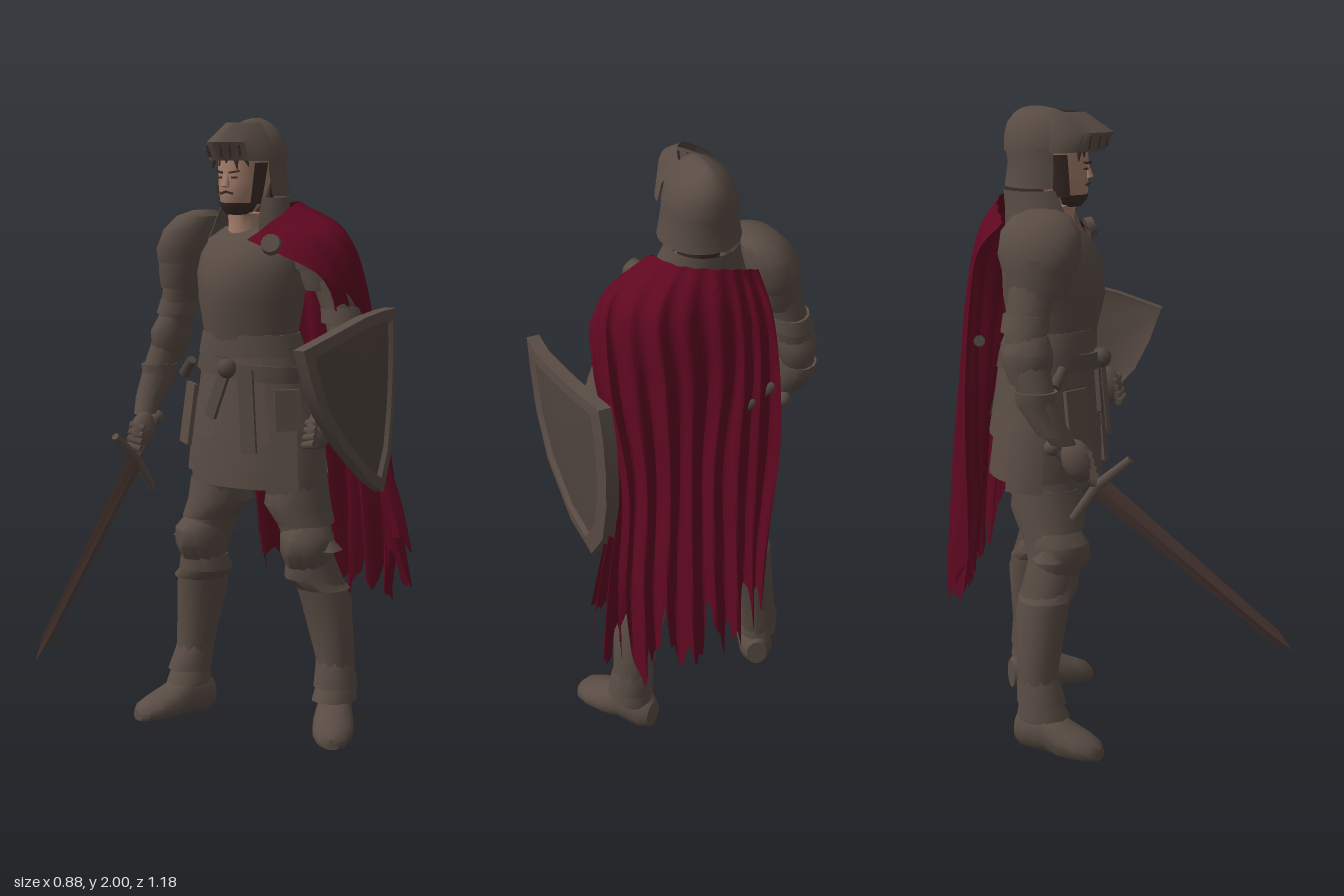
import * as THREE from 'three';
import { toCreasedNormals } from 'three/addons/utils/BufferGeometryUtils.js';

const V = (x, y, z) => new THREE.Vector3(x, y, z);
const mat = (name, color, side = THREE.FrontSide) => {
  const m = new THREE.MeshStandardMaterial({ color, side });
  m.name = name;
  return m;
};

export function createModel() {
  const root = new THREE.Group();
  root.name = 'knight';
  const steel = mat('brown steel', 0x594c44, THREE.DoubleSide);
  const leather = mat('dark leather', 0x52463f);
  const panelMat = mat('shield panel', 0x4f443d);
  const bladeMat = mat('rusty blade', 0x503d38);
  const red = mat('crimson cloth', 0x5f0820, THREE.DoubleSide);
  const skinMat = mat('skin', 0xa57f6c);
  const hair = mat('dark hair', 0x3a2c28, THREE.DoubleSide);

  const add = (name, geo, material, parent = root) => {
    const m = new THREE.Mesh(geo, material);
    m.name = name;
    parent.add(m);
    return m;
  };

  // Surface through rings of points, counterclockwise seen from the last ring
  function skin(rings, closed = true) {
    const n = rings[0].length, pos = [], idx = [], cols = closed ? n : n - 1;
    rings.forEach(r => r.forEach(p => pos.push(p.x, p.y, p.z)));
    for (let i = 0; i < rings.length - 1; i++) for (let j = 0; j < cols; j++) {
      const k = (j + 1) % n, a = i * n + j, b = i * n + k, c = b + n, d = a + n;
      idx.push(a, b, c, a, c, d);
    }
    if (closed) [0, rings.length - 1].forEach((ri, end) => {
      const c = rings[ri].reduce((s, p) => s.add(p), V(0, 0, 0)).divideScalar(n), ci = pos.length / 3;
      pos.push(c.x, c.y, c.z);
      for (let j = 0; j < n; j++) {
        const a = ri * n + j, b = ri * n + (j + 1) % n;
        end ? idx.push(ci, a, b) : idx.push(ci, b, a);
      }
    });
    const g = new THREE.BufferGeometry();
    g.setAttribute('position', new THREE.Float32BufferAttribute(pos, 3));
    g.setIndex(idx);
    return toCreasedNormals(g, 0.7);
  }

  // Stacked ellipses [x, y, z, rx, rz, frontRidge]; an angle range leaves it open
  function loft(sections, n = 18, a0 = 0, a1 = Math.PI * 2) {
    const closed = a1 - a0 > 6.28, steps = closed ? n : n - 1;
    const rings = [...sections].sort((p, q) => p[1] - q[1]).map(([x, y, z, rx, rz, p = 0]) =>
      Array.from({ length: n }, (_, i) => {
        const a = a0 + (a1 - a0) * i / steps;
        return V(x + rx * Math.sin(a), y, z + rz * Math.cos(a) + p * Math.max(0, Math.cos(a)) ** 6);
      }));
    return skin(rings, closed);
  }
  function bar(name, a, b, r0, r1, material, parent = root, sides = 8) {
    const d = b.clone().sub(a), m = add(name, new THREE.CylinderGeometry(r1, r0, d.length(), sides), material, parent);
    m.position.copy(a).addScaledVector(d, 0.5);
    m.quaternion.setFromUnitVectors(V(0, 1, 0), d.normalize());
  }
  function box(name, w, h, d, x, y, z, material, rx = 0, ry = 0, rz = 0) {
    const m = add(name, new THREE.BoxGeometry(w, h, d), material);
    m.position.set(x, y, z);
    m.rotation.set(rx, ry, rz);
  }

  // Torso, collar and layered skirt
  add('breastplate', loft([[-.03, 1.655, -.235, .1, .09], [-.02, 1.62, -.215, .155, .115], [-.02, 1.57, -.205, .18, .135, .005],
    [-.02, 1.51, -.2, .188, .152, .015], [-.02, 1.42, -.2, .18, .15, .02], [-.02, 1.32, -.2, .162, .135, .01], [-.02, 1.2, -.21, .172, .135]], 24), steel);
  add('collar', loft([[-.03, 1.75, -.245, .105, .1], [-.03, 1.69, -.225, .12, .115], [-.03, 1.61, -.21, .145, .13]], 18, .75, 5.53), steel);
  add('waistPlate', loft([[-.02, 1.32, -.2, .166, .142], [-.02, 1.25, -.21, .188, .152]], 20), steel);
  // Plates hung in two tiers, with uneven hems
  const tier = (name, count, start, top, mid, low, drop) => {
    const w = Math.PI * 2 / count;
    for (let i = 0; i < count; i++) {
      const d = drop * (i % 2), c = start + i * w;
      add(name, loft([[-.015, top[0], -.215, top[1], top[2]], [-.01, mid[0], -.22, mid[1], mid[2]],
        [-.01, low[0] + d, -.225, low[1], low[2]]], 5, c - w * .5, c + w * .53), steel);
    }
  };
  tier('upperSkirtPlate', 7, .2, [1.27, .178, .145], [1.12, .208, .16], [.985, .242, .176], .04);
  tier('lowerSkirtPlate', 9, .36, [1.05, .22, .16], [.94, .242, .172], [.83, .254, .178], .03);
  add('skirtCore', loft([[-.02, 1.2, -.215, .175, .135], [-.01, 1.05, -.22, .208, .15], [-.01, .88, -.23, .225, .155]], 16), leather);
  const belt = add('belt', loft([[-.015, .025, 0, .19, .157], [-.01, -.025, 0, .2, .166]], 20), leather);
  belt.position.set(0, 1.21, -.21);
  belt.rotation.z = -.1;
  add('beltKnot', new THREE.SphereGeometry(.032, 10, 8), leather).position.set(0, 1.215, -.045);
  box('beltStrap', .05, .26, .014, .08, 1.08, -.045, leather, -.1, .25, .12);
  box('beltTail', .04, .16, .014, -.04, 1.13, -.048, leather, -.12, 0, -.3);
  box('hipPouch', .08, .13, .05, .19, 1.09, -.11, leather, -.1, .7, .1);
  box('hipPlate', .08, .2, .014, .2, .93, -.085, steel, -.12, .6, .1);
  box('hipPlate', .09, .2, .014, -.19, 1.05, -.09, steel, -.15, -.6, -.1);
  bar('dagger', V(-.08, 1.26, -.43), V(-.21, 1.3, -.39), .014, .018, leather);
  bar('hipToggle', V(-.21, 1.22, -.13), V(-.255, 1.17, -.15), .016, .02, leather);

  // Head and face
  add('head', loft([[-.03, 1.6, -.205, .07, .085], [-.03, 1.66, -.195, .058, .07], [-.03, 1.7, -.18, .055, .06], [-.03, 1.705, -.155, .042, .05],
    [-.03, 1.74, -.165, .064, .083], [-.03, 1.8, -.175, .076, .095], [-.03, 1.88, -.18, .08, .1]], 18), skinMat);
  add('beard', loft([[-.03, 1.697, -.155, .038, .052], [-.03, 1.715, -.158, .056, .07], [-.03, 1.735, -.164, .066, .084]], 14, -1.5, 1.5), hair);
  [-1, 1].forEach(s => {
    add('sideburn', loft([[-.03, 1.73, -.164, .068, .085], [-.03, 1.86, -.178, .083, .102]], 5, s * 1.4 - .3, s * 1.4 + .3), hair);
    box('eyebrow', .034, .006, .008, -.03 + s * .03, 1.832, -.08, hair, 0, s * .3, s * .15);
    box('eye', .02, .006, .006, -.03 + s * .03, 1.814, -.082, hair, 0, s * .3);
    box('moustache', .024, .006, .008, -.03 + s * .012, 1.767, -.079, hair, 0, s * .2, -s * .25);
  });
  bar('nose', V(-.03, 1.823, -.084), V(-.03, 1.785, -.075), .007, .013, skinMat, root, 5);
  for (let i = 0; i < 5; i++)
    bar('hairLock', V(-.085 + i * .027, 1.89, -.085 - .007 * Math.abs(i - 2)), V(-.1 + i * .036, 1.84 + .01 * (i % 3), -.076 - .011 * Math.abs(i - 2)), .013, .002, hair, root, 5);
  add('napeHair', loft([[-.03, 1.68, -.2, .064, .075], [-.03, 1.8, -.19, .085, .1]], 12, 1.7, 4.58), hair);

  // Peaked helmet with flared neck guard and raised, pointed visor
  add('helmet', loft([[-.03, 1.865, -.217, .108, .124], [-.03, 1.91, -.22, .1, .122], [-.03, 1.95, -.225, .077, .107],
    [-.03, 1.98, -.228, .045, .08], [-.03, 1.993, -.235, .02, .052], [-.03, 2, -.24, .005, .02]], 22), steel);
  add('neckGuard', loft([[-.03, 1.88, -.217, .106, .122], [-.03, 1.83, -.212, .109, .118], [-.03, 1.76, -.215, .122, .125]], 20, 1.2, 5.08), steel);
  add('visor', loft([[-.03, 1.868, -.19, .116, .125, .035], [-.03, 1.925, -.19, .101, .14, .05], [-.03, 1.985, -.2, .05, .09, .02]], 21, -1.5, 1.5), steel);
  for (let i = -3; i <= 3; i++) if (i) {
    const a = i * .2;
    box('visorSlit', .006, .038, .006, -.03 + .11 * Math.sin(a), 1.897, -.19 + .134 * Math.cos(a) + .042 * Math.cos(a) ** 6, hair, .2, a);
  }

  // Arms: shoulder plates (the left one lies under the cape), sleeve, elbow guard and gauntlet
  [{ s: -1, sh: [.262, 1.705, -.19, 1], a: [[.285, -.2], [.34, -.22], [.362, -.21], [.39, -.18], [.395, -.13], [.385, -.1]], hand: [-.365, .975, -.06] },
   { s: 1, sh: [.2, 1.66, -.265, .78], a: [[.235, -.27], [.28, -.285], [.31, -.275], [.328, -.22], [.338, -.14], [.338, -.1]], hand: [.335, 1.05, -.08] }].forEach(({ s, sh, a, hand }) => {
    const side = s < 0 ? 'right' : 'left';
    const L = (i, y, rx, rz, out = 0) => [s * (a[i][0] + out), y, a[i][1], rx, rz];
    const P = (dx, dy, rx, rz) => [s * (sh[0] + dx * sh[3]), sh[1] - dy * sh[3], sh[2], rx * sh[3], rz * sh[3]];
    add(side + 'ShoulderPlate', loft([P(-.055, 0, .03, .045), P(-.04, .018, .065, .09), P(-.02, .06, .088, .122), P(0, .125, .1, .128), P(.004, .17, .096, .115)]), steel);
    add(side + 'ShoulderLame', loft([P(.008, .13, .092, .108), P(.018, .205, .084, .1), P(.025, .255, .074, .085)]), steel);
    add(side + 'Arm', loft([L(0, 1.53, .065, .075), L(1, 1.37, .055, .065), L(2, 1.28, .056, .064), L(3, 1.18, .05, .056), L(4, 1.08, .042, .045), L(5, 1.03, .036, .04)], 14), steel);
    add(side + 'ArmBand', loft([L(1, 1.41, .06, .07, -.01), L(1, 1.36, .068, .076)], 14), steel);
    add(side + 'ElbowGuard', loft([L(2, 1.35, .05, .06, -.015), L(2, 1.3, .064, .078), L(2, 1.26, .062, .076), L(2, 1.21, .05, .055, .01)], 12), steel);
    add(side + 'GauntletCuff', loft([L(3, 1.19, .058, .066), L(3, 1.15, .056, .062), L(4, 1.06, .044, .048)], 12), steel);
    const h = add(side + 'Hand', new THREE.SphereGeometry(.05, 12, 10), steel);
    h.scale.set(.78, 1.35, 1);
    h.position.set(...hand);
    h.rotation.x = -.35;
    for (let i = 0; i < 4; i++)
      bar(side + 'Finger', V(hand[0] + s * .02, hand[1] + .025 - i * .022, hand[2] + .035 + i * .006), V(hand[0] - s * .03, hand[1] + .015 - i * .022, hand[2] + .025 + i * .006), .015, .013, steel, root, 6);
  });

  // Legs: [x, z] of hip, thigh, knee top, knee, calf, shin, ankle
  [{ s: -1, a: [[.115, -.21], [.138, -.195], [.168, -.18], [.188, -.17], [.222, -.2], [.258, -.21], [.272, -.2]], turn: -.34 },
   { s: 1, a: [[.1, -.25], [.122, -.265], [.155, -.265], [.172, -.265], [.205, -.31], [.235, -.325], [.242, -.325]], turn: .55 }].forEach(({ s, a, turn }) => {
    const side = s < 0 ? 'right' : 'left';
    const L = (i, y, rx, rz, dz = 0, p = 0) => [s * a[i][0], y, a[i][1] + dz, rx, rz, p];
    add(side + 'Leg', loft([L(0, .96, .11, .13), L(1, .78, .094, .108), L(2, .68, .082, .092), L(3, .6, .075, .08), L(4, .45, .086, .084), L(5, .25, .065, .065), L(6, .1, .058, .068)]), steel);
    add(side + 'ThighPlate', loft([L(1, .83, .094, .11), L(1, .76, .103, .12), L(2, .7, .09, .104)], 14), steel);
    add(side + 'KneeGuard', loft([L(2, .71, .075, .07, .01), L(3, .66, .09, .085, .015, .015), L(3, .61, .09, .085, .015, .02), L(3, .55, .07, .07, .005)], 14), steel);
    add(side + 'KneeWing', new THREE.ConeGeometry(.055, .06, 6), steel).position.set(s * (a[3][0] + .065), .65, a[3][1]);
    add(side + 'GreaveRim', loft([L(3, .57, .078, .082), L(3, .52, .088, .09, -.01), L(4, .485, .088, .088, .01)], 12), steel);
    add(side + 'AnkleFlare', loft([L(5, .24, .064, .066), L(6, .155, .074, .08, .005)], 10), steel);
    add(side + 'AnklePlate', loft([L(6, .17, .062, .066), L(6, .11, .074, .085, .01)], 10), steel);
    // Boot swept from heel to toe, pressed flat at the sole
    const g = loft([[0, -.09, -.06, .035, .05], [0, -.06, -.065, .055, .07], [0, .02, -.072, .06, .075], [0, .08, -.05, .068, .06],
      [0, .14, -.038, .066, .045], [0, .185, -.028, .05, .035], [0, .205, -.02, .025, .02]], 14).rotateX(Math.PI / 2);
    const p = g.attributes.position;
    for (let i = 0; i < p.count; i++) p.setY(i, Math.max(0.005, p.getY(i)) - .005);
    const boot = add(side + 'Boot', toCreasedNormals(g, .7), steel);
    boot.position.set(s * a[6][0], 0, a[6][1] + .01);
    boot.rotation.y = turn;
  });

  // Sword, pointing forward and down
  const guard = V(-.345, .89, .0), dir = V(-.25, .36, .59).sub(guard), len = dir.length();
  dir.normalize();
  const across = V(-.05, .85, .55);
  across.addScaledVector(dir, -across.dot(dir)).normalize();
  const sword = new THREE.Group();
  sword.name = 'sword';
  sword.applyMatrix4(new THREE.Matrix4().makeBasis(across, dir, across.clone().cross(dir)).setPosition(guard));
  root.add(sword);
  add('blade', loft([[0, 0, 0, .036, .013], [0, len * .9, 0, .023, .009], [0, len, 0, .001, .001]], 4), bladeMat, sword);
  [-1, 1].forEach(s => bar('quillon', V(0, -.005, 0), V(s * .132, .012, 0), .017, .013, steel, sword));
  bar('grip', V(0, -.17, 0), V(0, 0, 0), .014, .016, leather, sword);
  add('pommel', new THREE.SphereGeometry(.026, 10, 8), steel, sword).position.y = -.185;

  // Curved shield on the left arm, outline as [-z, y]
  const outline = [[.37, .81], [.43, .91], [.455, 1.05], [.46, 1.18], [.455, 1.3], [.44, 1.4], [.32, 1.4], [.2, 1.39], [.05, 1.355],
    [-.1, 1.31], [-.06, 1.2], [-.01, 1.1], [.095, .985], [.255, .865]];
  const ring = (s, off) => outline.map(([u, y]) => {
    const z = -(.2 + (u - .2) * s), yy = 1.15 + (y - 1.15) * s;
    return V(.402 - .48 * (z + .13) ** 2 + .02 * (yy - 1.15) + off, yy, z);
  });
  add('shieldRim', skin([ring(.01, -.015), ring(.5, -.015), ring(.9, -.015), ring(1, -.022), ring(1, .018), ring(.85, .02), ring(.82, .004)]), steel);
  add('shieldPanel', skin([ring(.83, .003), ring(.83, .005), ring(.45, .008), ring(.01, .01)]), panelMat);

  // Torn cape: control rows from neck to hem, each from the right back edge to the left front edge
  const rows = [
    [[-.17, 1.66, -.32], [-.06, 1.71, -.36], [.07, 1.735, -.33], [.125, 1.725, -.22], [.04, 1.62, -.1]],
    [[-.18, 1.58, -.38], [-.05, 1.6, -.42], [.17, 1.64, -.4], [.285, 1.64, -.26], [.17, 1.575, -.1]],
    [[-.2, 1.42, -.4], [-.04, 1.42, -.45], [.18, 1.43, -.45], [.328, 1.46, -.32], [.285, 1.49, -.16]],
    [[-.21, 1.1, -.42], [0, 1.1, -.48], [.18, 1.1, -.485], [.31, 1.1, -.43], [.25, 1.15, -.32]],
    [[-.18, .75, -.43], [0, .72, -.52], [.2, .72, -.525], [.35, .76, -.48], [.37, .82, -.41]],
    [[-.16, .38, -.45], [-.02, .26, -.555], [.19, .25, -.56], [.36, .28, -.53], [.46, .55, -.45]]];
  const columns = rows[0].map((_, c) => new THREE.CatmullRomCurve3(rows.map(r => V(...r[c]))));
  const saw = t => Math.abs((t % 1) * 2 - 1);
  const NU = 96, NV = 32, cape = [];
  for (let j = NV; j >= 0; j--) {
    const line = [];
    for (let i = 0; i <= NU; i++) {
      const u = i / NU, cut = .01 + .07 * saw(u * 11 + .3) + .07 * saw(u * 5.3 + .2) + .04 * saw(u * 23);
      const v = j / NV * (1 - cut), q = new THREE.CatmullRomCurve3(columns.map(c => c.getPoint(v))).getPoint(u);
      const fold = (.003 + .03 * v) * (Math.sin(u * 62 + 2 * Math.sin(v * 3)) + .5 * Math.sin(u * 25 + v * 5));
      q.z -= fold * (u < .7 ? 1 : .5);
      q.x += fold * (u < .7 ? .25 : .6);
      line.push(q);
    }
    cape.push(line.reverse());
  }
  add('cape', skin(cape, false), red);
  const clasp = add('capeClasp', new THREE.CylinderGeometry(.03, .034, .025, 12), steel);
  clasp.position.set(.13, 1.61, -.1);
  clasp.rotation.set(1.2, 0, -.4);
  return root;
}
